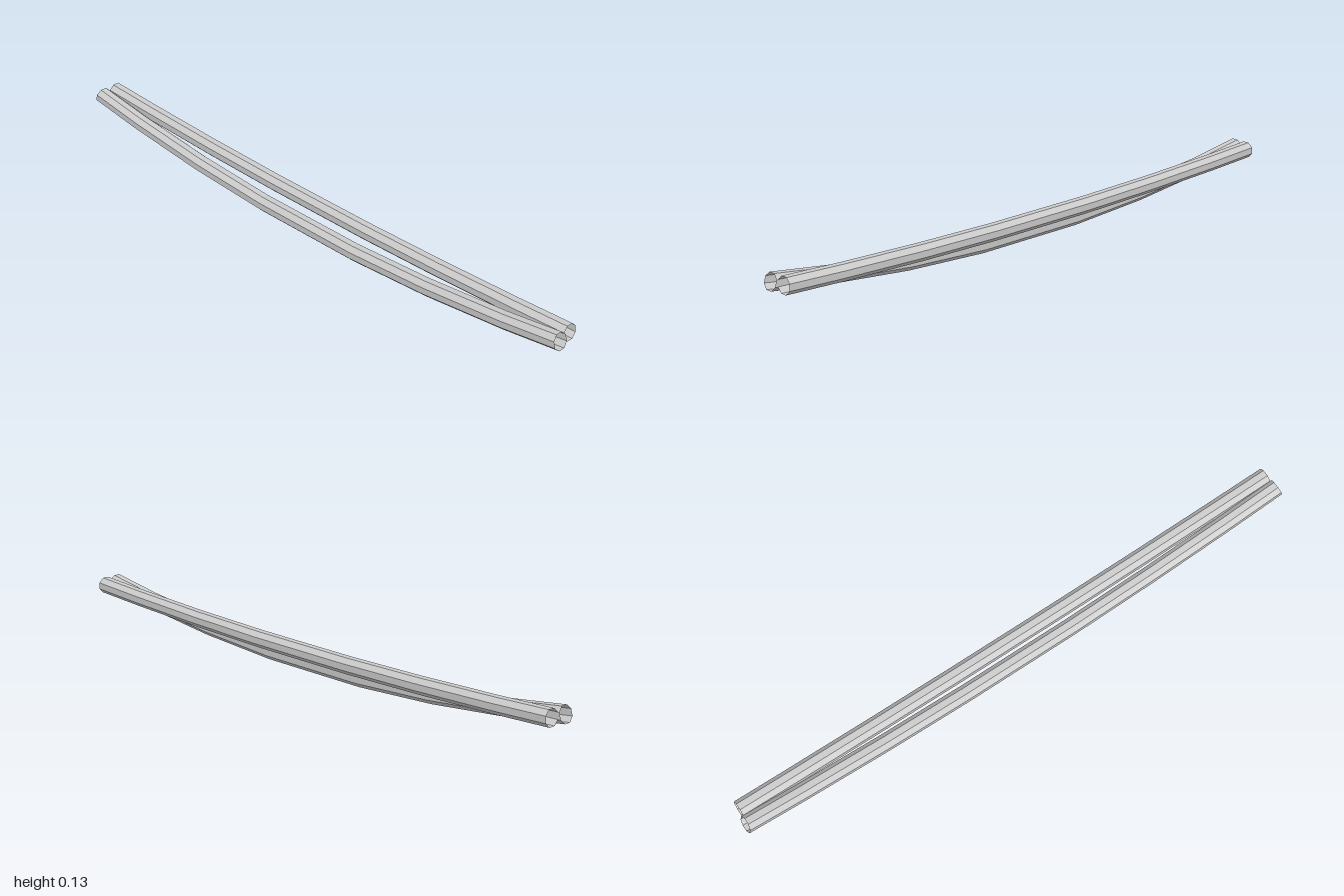
import * as THREE from 'three';

const RADIUS = 0.026 / Math.cos(Math.PI / 8);
const STATIONS = [-1, -0.8, -0.5, -0.2, 0.2, 0.5, 0.8, 1];

// Open eight-sided tube along z, sagging between its raised ends
function saggingTube({ name, x, low, rise, halfLength, endTilt }) {
  const segments = STATIONS.length - 1;
  const geometry = new THREE.CylinderGeometry(RADIUS, RADIUS, 2, 8, segments, true, Math.PI / 8);
  geometry.rotateX(Math.PI / 2);
  const pos = geometry.attributes.position;
  for (let i = 0; i < pos.count; i++) {
    const t = STATIONS[Math.round((pos.getZ(i) + 1) / 2 * segments)];
    const angle = endTilt * t;
    const across = pos.getY(i);
    const lift = rise * (t * t - 0.04) / 0.96;
    // each ring leans with the slope of the curve
    pos.setY(i, low + lift + across * Math.cos(angle));
    pos.setZ(i, t * halfLength - across * Math.sin(angle));
  }
  geometry.computeVertexNormals();
  const material = new THREE.MeshStandardMaterial({
    color: 0xcccccc, flatShading: true, side: THREE.DoubleSide,
  });
  const mesh = new THREE.Mesh(geometry, material);
  mesh.name = name;
  mesh.position.x = x;
  return mesh;
}

export function createModel() {
  const group = new THREE.Group();
  group.name = 'saggingCables';
  group.add(
    saggingTube({ name: 'slackCable', x: -0.026, low: 0.026, rise: 0.078, halfLength: 0.993, endTilt: 0.27 }),
    saggingTube({ name: 'tautCable', x: 0.026, low: 0.078, rise: 0.026, halfLength: 0.985, endTilt: 0.08 }),
  );
  return group;
}
